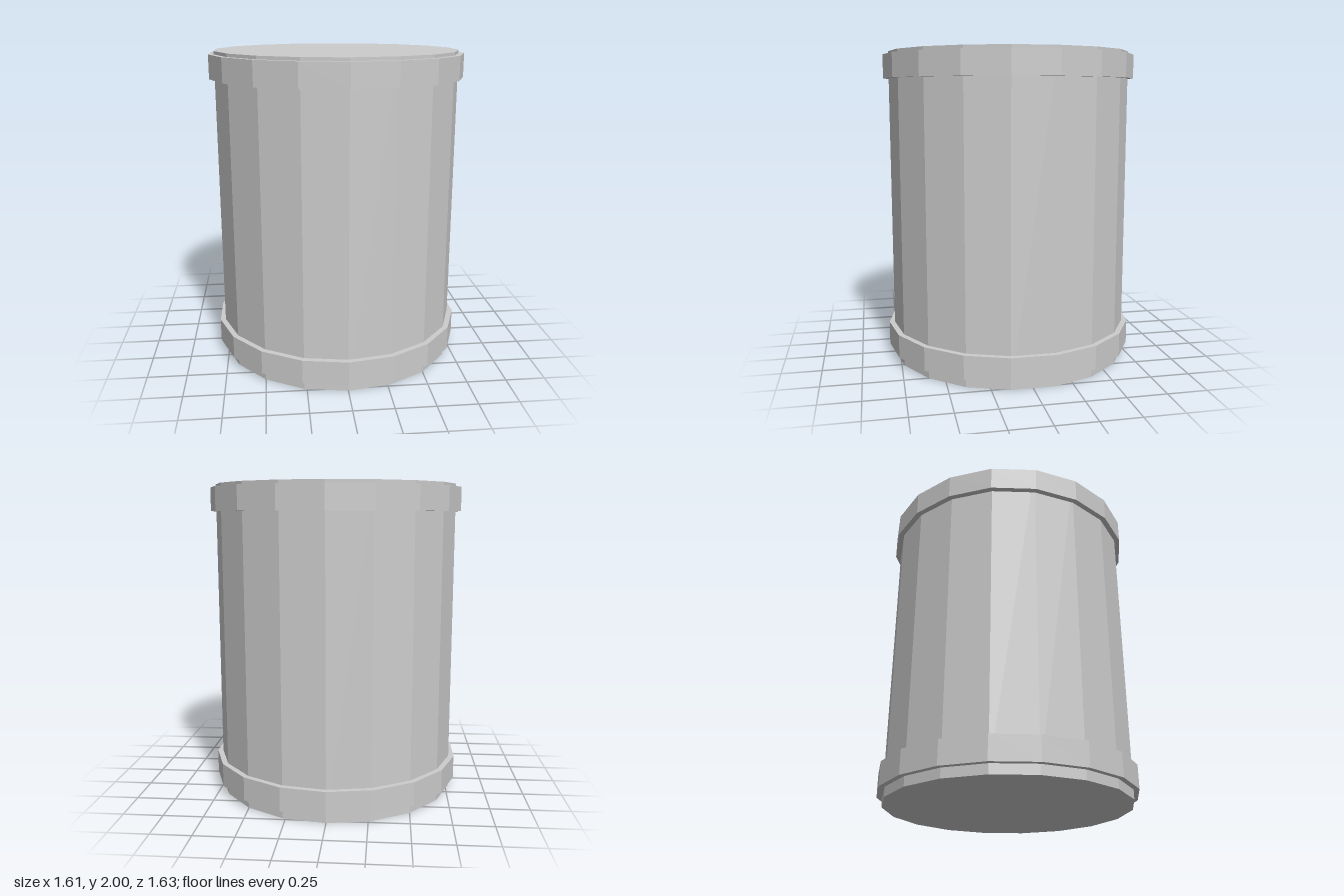
import * as THREE from 'three';

const SIDES = 18;
const BODY_RADIUS = 0.78;
const BAND_RADIUS = 0.815;
const HEIGHT = 2;

export function createModel() {
  const model = new THREE.Group();
  model.name = 'drum';

  const grey = new THREE.MeshStandardMaterial({ color: 0xcccccc });
  grey.name = 'light grey';
  grey.flatShading = true;

  function addPart(name, geometry) {
    const mesh = new THREE.Mesh(geometry, grey);
    mesh.name = name;
    model.add(mesh);
  }

  // Closed faceted body with a corner facing front and back
  const body = new THREE.CylinderGeometry(BODY_RADIUS, BODY_RADIUS, HEIGHT, SIDES);
  body.translate(0, HEIGHT / 2, 0);
  addPart('body', body);

  // Raised bands: bottom lip, outer wall and top lip
  function addBand(name, bottom, top) {
    const profile = [
      [BODY_RADIUS, bottom],
      [BAND_RADIUS, bottom],
      [BAND_RADIUS, top],
      [BODY_RADIUS, top],
    ].map(([r, y]) => new THREE.Vector2(r, y));
    addPart(name, new THREE.LatheGeometry(profile, SIDES));
  }
  addBand('lowerBand', 0.06, 0.21);
  addBand('upperBand', 1.83, 1.98);

  return model;
}
